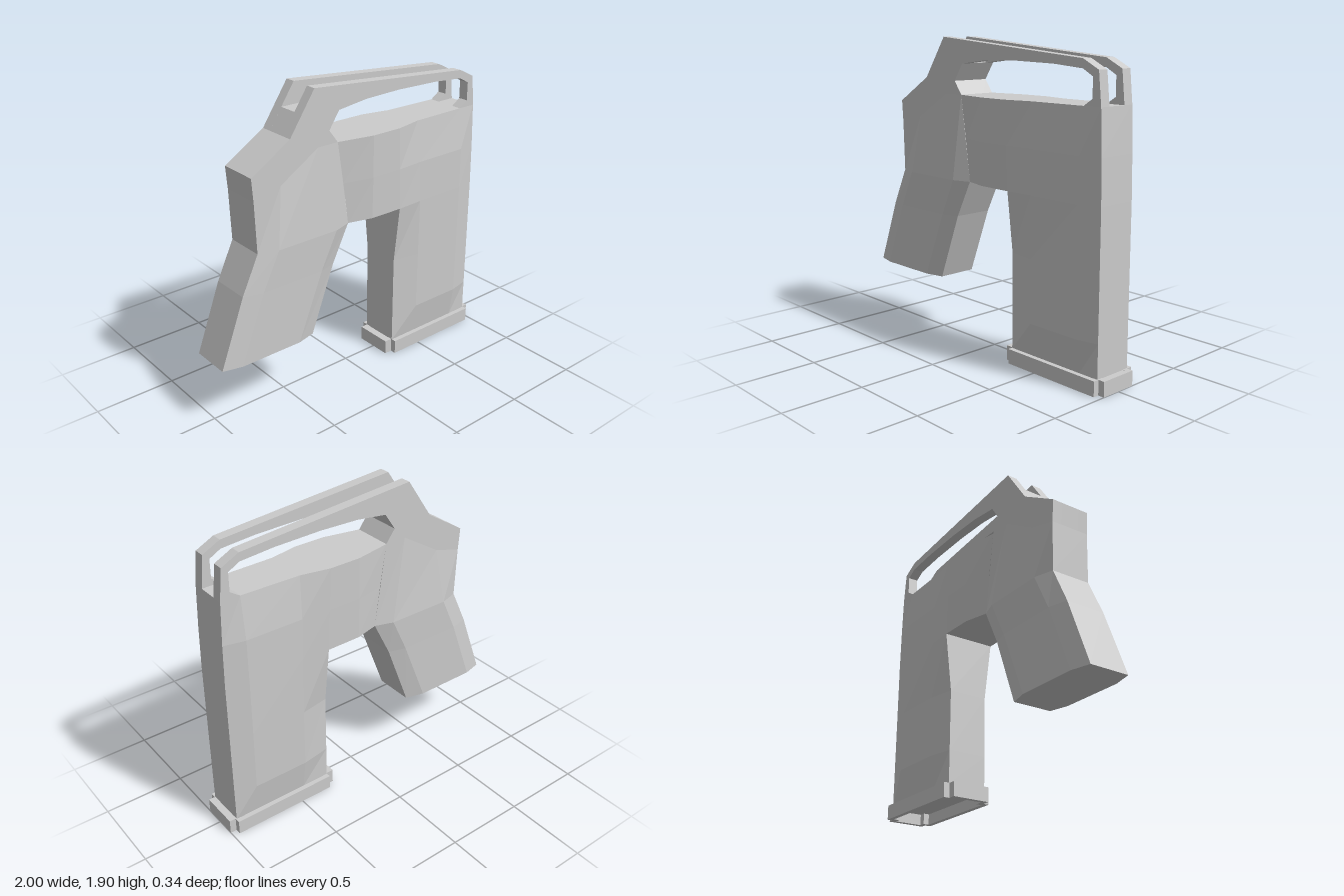
import * as THREE from 'three';

const material = new THREE.MeshStandardMaterial({ color: 0xcccccc, flatShading: true, side: THREE.DoubleSide });

function addMesh(group, name, geometry) {
  const mesh = new THREE.Mesh(geometry, material);
  mesh.name = name;
  group.add(mesh);
  return mesh;
}

// Slab symmetric in z. Rows run bottom to top, points [x, y, halfThickness] left to right.
// walls lists which borders (b, r, t, l) get a closing wall.
function slab(rows, walls) {
  const pos = [];
  const quad = (a, b, c, d) => pos.push(...a, ...b, ...c, ...a, ...c, ...d);
  const back = ([x, y, z]) => [x, y, -z];
  for (let r = 0; r < rows.length - 1; r++) {
    for (let c = 0; c < rows[r].length - 1; c++) {
      const q = [rows[r][c], rows[r][c + 1], rows[r + 1][c + 1], rows[r + 1][c]];
      quad(...q);
      quad(...q.map(back).reverse());
    }
  }
  const borders = {
    b: rows[0],
    r: rows.map(row => row[row.length - 1]),
    t: [...rows[rows.length - 1]].reverse(),
    l: rows.map(row => row[0]).reverse(),
  };
  for (const key of walls) {
    const line = borders[key];
    for (let i = 0; i < line.length - 1; i++) {
      quad(line[i], back(line[i]), back(line[i + 1]), line[i + 1]);
    }
  }
  const geometry = new THREE.BufferGeometry();
  geometry.setAttribute('position', new THREE.Float32BufferAttribute(pos, 3));
  geometry.computeVertexNormals();
  return geometry;
}

const toPoints = list => list.map(([x, y]) => new THREE.Vector2(x, y));

function extrude(outline, depth, hole) {
  const shape = new THREE.Shape(toPoints(outline));
  if (hole) shape.holes.push(new THREE.Path(toPoints(hole)));
  return new THREE.ExtrudeGeometry(shape, { depth, bevelEnabled: false });
}

// Cross-shaped outline: a wide middle with a narrower tab at each end
function tabbedOutline(inset) {
  const x0 = 0.24 + inset, x1 = 0.29 + inset, x2 = 0.96 - inset, x3 = 1 - inset;
  const n = 0.12 - inset, w = 0.157 - inset;
  return [[x0, -n], [x1, -n], [x1, -w], [x2, -w], [x2, -n], [x3, -n],
    [x3, n], [x2, n], [x2, w], [x1, w], [x1, n], [x0, n]];
}

export function createModel() {
  const group = new THREE.Group();
  const edge = 0.125;

  // Raked rear grip with chamfered long edges, fading into the flat upper frame
  addMesh(group, 'grip', slab([
    [[-1, 0.39, edge], [-0.88, 0.39, 0.155], [-0.48, 0.39, 0.155], [-0.36, 0.39, edge]],
    [[-0.84, 0.81, edge], [-0.72, 0.81, 0.157], [-0.31, 0.81, 0.157], [-0.2, 0.81, edge]],
    [[-0.73, 1.04, edge], [-0.61, 1.04, 0.162], [-0.2, 1.04, 0.162], [-0.085, 1.04, edge]],
    [[-0.74, 1.35, edge], [-0.56, 1.4, edge], [-0.3, 1.56, edge], [-0.16, 1.56, edge]],
  ], 'brl'));

  // Central body, widest just ahead of the grip
  const bodyRow = (y, xs, zs) => xs.map((x, i) => [x, y, zs[i]]);
  addMesh(group, 'body', slab([
    bodyRow(1.04, [-0.085, 0.07, 0.29, 0.47, 0.82, 0.955], [edge, 0.165, 0.168, 0.16, 0.157, edge]),
    bodyRow(1.3, [-0.12, 0.07, 0.28, 0.46, 0.82, 0.95], [edge, 0.17, 0.17, 0.157, 0.155, edge]),
    bodyRow(1.56, [-0.16, 0.07, 0.27, 0.45, 0.82, 0.94], [edge, 0.17, 0.17, 0.133, edge, edge]),
  ], 'brt'));

  // Front leg below the body, tapering toward the foot
  const legX = [0.29, 0.47, 0.82, 0.955];
  addMesh(group, 'frontLeg', slab([
    bodyRow(0.085, legX, [edge, edge, edge, edge]),
    bodyRow(0.29, legX, [edge, 0.155, 0.155, edge]),
    bodyRow(0.67, legX, [edge, 0.157, 0.157, edge]),
    bodyRow(1.04, legX, [0.168, 0.16, 0.157, edge]),
  ], 'brl'));

  // Foot: hollow frame closed by a thin top plate
  const frame = extrude(tabbedOutline(0), 0.09, tabbedOutline(0.03));
  addMesh(group, 'footFrame', frame.rotateX(-Math.PI / 2));
  const plate = extrude(tabbedOutline(0.01), 0.02);
  addMesh(group, 'footPlate', plate.rotateX(-Math.PI / 2).translate(0, 0.068, 0));

  // Twin upper side plates with a long window between them and the body
  const plateOutline = [
    [-0.75, 1.49], [-0.74, 1.35], [-0.56, 1.4], [-0.3, 1.56], [-0.16, 1.56],
    [-0.22, 1.64], [-0.15, 1.745], [0.05, 1.77], [0.3, 1.777], [0.6, 1.77],
    [0.81, 1.753], [0.88, 1.715], [0.88, 1.6], [0.82, 1.56], [0.94, 1.56],
    [0.92, 1.75], [0.81, 1.805], [-0.32, 1.9], [-0.49, 1.65],
  ];
  for (const [name, z] of [['frontSidePlate', 0.06], ['backSidePlate', -edge]]) {
    addMesh(group, name, extrude(plateOutline, edge - 0.06)).position.z = z;
  }

  // Solid rear core that closes the slot between the plates
  const core = extrude([
    [-0.75, 1.49], [-0.74, 1.35], [-0.56, 1.4], [-0.3, 1.56], [-0.16, 1.56],
    [-0.22, 1.64], [-0.15, 1.745], [-0.15, 1.77], [-0.408, 1.77], [-0.49, 1.65],
  ], 0.12);
  addMesh(group, 'rearCore', core.translate(0, 0, -0.06));

  return group;
}
